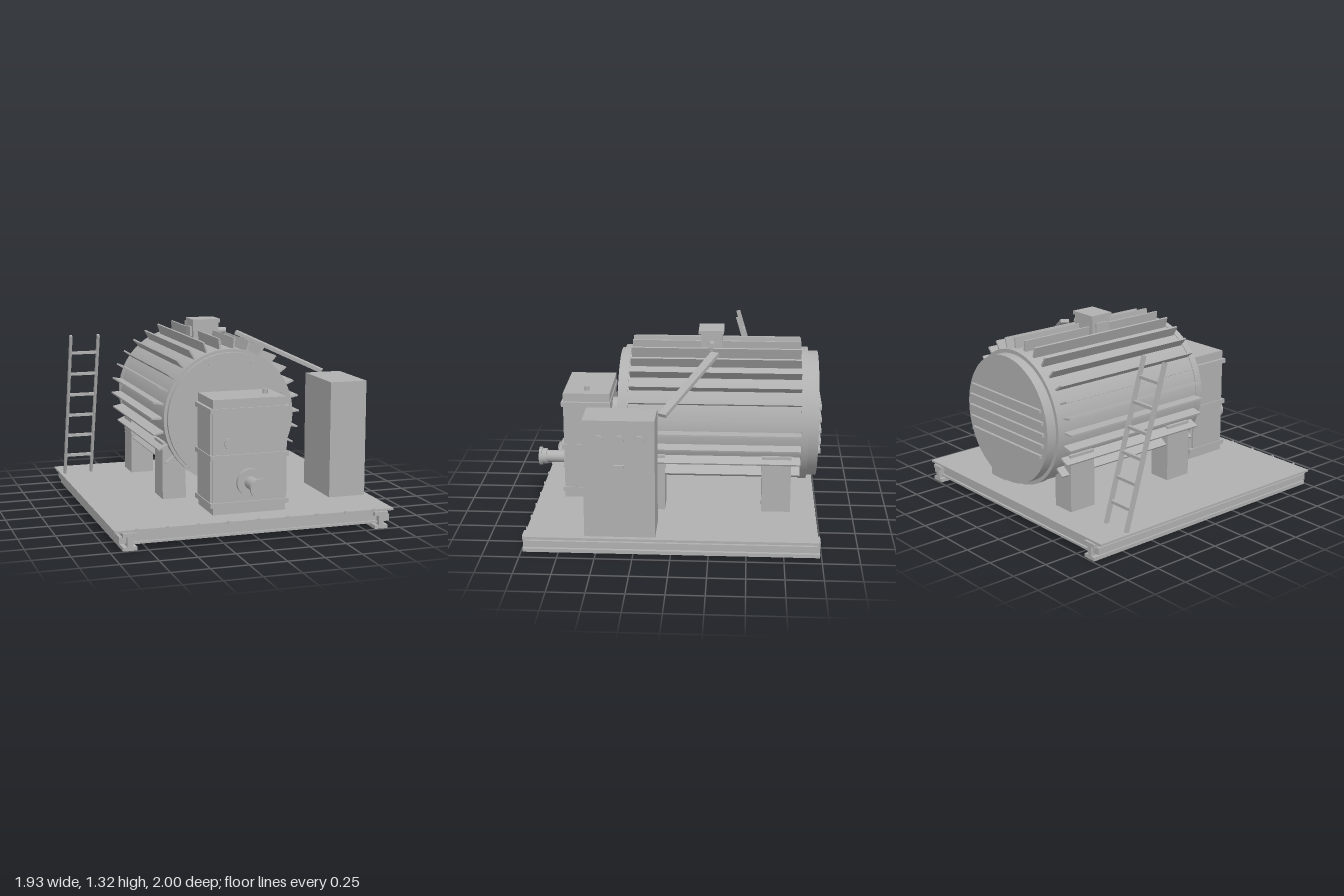
import * as THREE from 'three';

export function createModel() {
  const model = new THREE.Group();
  const metal = new THREE.MeshStandardMaterial({ color: 0xb0b0b0 });
  metal.name = 'bareMetal';

  const add = (name, geometry, x, y, z, parent = model) => {
    const mesh = new THREE.Mesh(geometry, metal);
    mesh.name = name;
    mesh.position.set(x, y, z);
    parent.add(mesh);
    return mesh;
  };
  // Box given by its extents on each axis
  const box = (name, x0, x1, y0, y1, z0, z1, parent) =>
    add(name, new THREE.BoxGeometry(x1 - x0, y1 - y0, z1 - z0),
      (x0 + x1) / 2, (y0 + y1) / 2, (z0 + z1) / 2, parent);
  // Round parts along z, x or y
  const rodZ = (name, r, x, y, z0, z1, parent, sides = 24) =>
    add(name, new THREE.CylinderGeometry(r, r, z1 - z0, sides).rotateX(Math.PI / 2), x, y, (z0 + z1) / 2, parent);
  const rodX = (name, r, x0, x1, y, z, parent, sides = 24) =>
    add(name, new THREE.CylinderGeometry(r, r, x1 - x0, sides).rotateZ(Math.PI / 2), (x0 + x1) / 2, y, z, parent);
  const rodY = (name, r, x, y0, y1, z, parent) =>
    add(name, new THREE.CylinderGeometry(r, r, y1 - y0, 20), x, (y0 + y1) / 2, z, parent);
  const group = (name) => {
    const g = new THREE.Group();
    g.name = name;
    model.add(g);
    return g;
  };

  // Skid: deck plate on I-beams and cross members
  const skid = group('skid');
  box('deckPlate', -0.965, 0.965, 0.115, 0.13, -0.975, 0.97, skid);
  for (const s of [-1, 1]) {
    const rail = new THREE.Group();
    rail.name = 'sideBeam';
    skid.add(rail);
    const c = s * 0.868;
    box('bottomFlange', c - 0.047, c + 0.047, 0, 0.025, -0.99, 0.99, rail);
    box('web', c - 0.018, c + 0.018, 0.025, 0.09, -0.99, 0.99, rail);
    box('topFlange', c - 0.047, c + 0.047, 0.09, 0.115, -0.99, 0.99, rail);
    box('sideRail', s * 0.908 - 0.027, s * 0.908 + 0.027, 0.045, 0.09, -0.97, 0.97, rail);
  }
  for (const z of [-0.93, -0.32, 0.32, 0.93]) {
    box('crossBeamFlange', -0.86, 0.86, 0.035, 0.05, z - 0.035, z + 0.035, skid);
    box('crossBeamWeb', -0.86, 0.86, 0.05, 0.115, z - 0.02, z + 0.02, skid);
    box('crossBeamTop', -0.86, 0.86, 0.1, 0.115, z - 0.035, z + 0.035, skid);
  }
  for (let i = -4; i <= 4; i++) rodZ('edgeStud', 0.012, i * 0.205, 0.127, 0.965, 0.976, skid, 8);

  // Motor drum with end rings
  const cy = 0.705;
  const drum = group('motorDrum');
  rodZ('shell', 0.46, 0, cy, -0.9, 0.36, drum, 64);
  rodZ('frontRing', 0.466, 0, cy, 0.32, 0.362, drum, 64);
  rodZ('rearRing', 0.466, 0, cy, -0.91, -0.86, drum, 64);
  rodZ('frontCover', 0.445, 0, cy, 0.36, 0.39, drum, 64);
  rodZ('rearCover', 0.44, 0, cy, -0.98, -0.91, drum, 64);
  rodZ('bearingFlange', 0.165, 0, cy, 0.39, 0.41, drum, 40);
  rodZ('couplingShaft', 0.09, 0, cy, 0.41, 0.47, drum);
  for (let i = 0; i < 8; i++) {
    const a = (i + 0.5) * Math.PI / 4;
    rodZ('coverBolt', 0.009, 0.4 * Math.cos(a), cy + 0.4 * Math.sin(a), 0.39, 0.396, drum, 6);
  }
  // Rear slats follow the chord of the cover
  for (let i = -2; i <= 2; i++) {
    const dy = i * 0.078, half = Math.sqrt(0.42 ** 2 - dy ** 2) - 0.01;
    box('rearSlat', -half, half, cy + dy - 0.011, cy + dy + 0.011, -1, -0.98, drum);
  }
  // Cooling fins around the upper drum
  for (let k = -3; k <= 18; k++) {
    const a = k * Math.PI / 15;
    const fin = add('coolingFin', new THREE.BoxGeometry(0.085, 0.012, 1.17),
      0.494 * Math.cos(a), cy + 0.494 * Math.sin(a), -0.275, drum);
    fin.rotation.z = a;
  }
  for (const z of [0.125, -0.675]) add('liftingEye', new THREE.TorusGeometry(0.018, 0.005, 8, 20), 0, 1.185, z, drum);

  // Drum supports
  for (const s of [-1, 1]) for (const z of [0.165, -0.7])
    box('supportLeg', s * 0.367 - 0.083, s * 0.367 + 0.083, 0.13, 0.53, z - 0.1, z + 0.1);

  // Gearbox with clamp bands and output shaft
  const gear = group('gearbox');
  box('housing', -0.253, 0.253, 0.13, 0.9, 0.46, 0.785, gear);
  box('sideCover', -0.268, 0.268, 0.18, 0.83, 0.49, 0.77, gear);
  for (const y of [0.825, 0.515, 0.195])
    box('clampBand', -0.275, 0.275, y - 0.016, y + 0.016, 0.455, 0.797, gear);
  rodZ('inspectionCap', 0.04, -0.135, 0.605, 0.785, 0.8, gear);
  rodY('breather', 0.018, 0.165, 0.9, 0.93, 0.625, gear);
  rodZ('shaftFlange', 0.092, 0, 0.34, 0.785, 0.812, gear, 32);
  rodZ('outputShaft', 0.043, 0, 0.34, 0.81, 0.95, gear);
  rodZ('shaftCollar', 0.055, 0, 0.34, 0.945, 0.98, gear);
  rodZ('shaftEnd', 0.066, 0, 0.34, 0.98, 1, gear);

  // Terminal box on top of the drum
  const terminal = group('terminalBox');
  box('body', -0.095, 0.095, 1.14, 1.3, -0.315, -0.165, terminal);
  box('lid', -0.102, 0.102, 1.295, 1.32, -0.325, -0.15, terminal);
  box('sidePlate', -0.11, -0.095, 1.2, 1.265, -0.29, -0.19, terminal);
  rodX('cableGland', 0.025, 0.09, 0.17, 1.225, -0.24, terminal);

  // Control cabinet with dials, switch and screws on its outer side
  const cabinet = group('controlCabinet');
  box('cabinetBody', 0.665, 0.93, 0.13, 0.94, 0.1, 0.57, cabinet);
  for (const z of [0.2, 0.333, 0.467]) rodX('dial', 0.032, 0.93, 0.947, 0.81, z, cabinet);
  box('switchPlate', 0.93, 0.944, 0.573, 0.638, 0.3, 0.366, cabinet);
  for (const z of [0.13, 0.26, 0.41, 0.54]) for (const y of [0.165, 0.915])
    rodX('screw', 0.008, 0.93, 0.937, y, z, cabinet, 6);

  // Sloping cable duct from cabinet to terminal box
  const a = new THREE.Vector3(0.262, 1.205, -0.27), b = new THREE.Vector3(0.808, 0.94, 0.06);
  const mid = a.clone().lerp(b, 0.5);
  add('cableDuct', new THREE.BoxGeometry(0.06, 0.026, a.distanceTo(b)), mid.x, mid.y, mid.z).lookAt(b);

  // Leaning ladder
  const ladder = group('ladder');
  const y0 = 0.13, y1 = 1.205, z0 = -0.735, z1 = -0.415;
  const lean = Math.atan2(z1 - z0, y1 - y0);
  for (const x of [-0.932, -0.733])
    add('ladderRail', new THREE.BoxGeometry(0.018, Math.hypot(y1 - y0, z1 - z0), 0.03),
      x, (y0 + y1) / 2, (z0 + z1) / 2, ladder).rotation.x = lean;
  for (let i = 0; i < 6; i++) {
    const y = 0.275 + i * 0.16;
    const z = z0 + (z1 - z0) * (y - y0) / (y1 - y0);
    box('rung', -0.932, -0.733, y - 0.01, y + 0.01, z - 0.012, z + 0.012, ladder);
  }
  return model;
}
